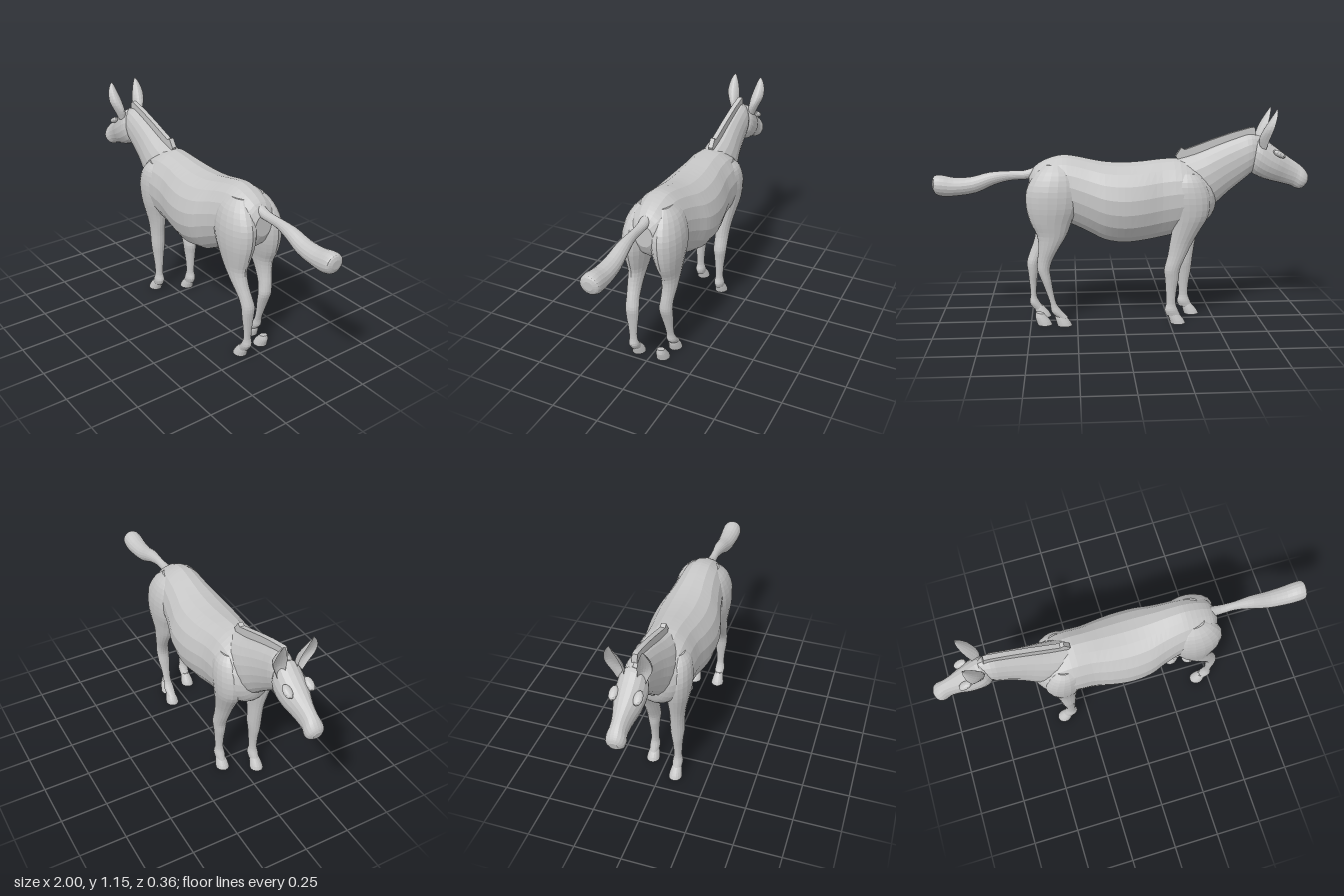
import * as THREE from 'three';

const coat = new THREE.MeshStandardMaterial({ color: 0xc6c6c6, flatShading: true });
coat.name = 'grey coat';
const SIDES = 18;

// Skin over rings [px, py, qx, qy, halfWidth, zCentre]: P and Q are opposite rim points in the xy plane
function loft(name, keys, { steps = 3, cup = false } = {}) {
  const a = new THREE.CatmullRomCurve3(keys.map(k => new THREE.Vector3(k[0], k[1], k[4])), false, 'centripetal');
  const b = new THREE.CatmullRomCurve3(keys.map(k => new THREE.Vector3(k[2], k[3], k[5] || 0)), false, 'centripetal');
  const rows = (keys.length - 1) * steps;
  const pos = [];
  let idx = [];
  const mids = [];
  for (let i = 0; i <= rows; i++) {
    const P = a.getPoint(i / rows), Q = b.getPoint(i / rows);
    const mx = (P.x + Q.x) / 2, my = (P.y + Q.y) / 2;
    mids.push([mx, my, Q.z]);
    for (let j = 0; j < SIDES; j++) {
      const t = (j / SIDES) * Math.PI * 2;
      const c = Math.cos(t);
      // a cupped ring is a crescent, hollow on the Q side
      const u = cup ? (c >= 0 ? 2 * c - 1 : -1.2 * c - 1) : c;
      pos.push(mx + (P.x - Q.x) / 2 * u, my + (P.y - Q.y) / 2 * u, Q.z + Math.max(P.z, 0.001) * Math.sin(t));
    }
  }
  for (let i = 0; i < rows; i++) for (let j = 0; j < SIDES; j++) {
    const k = (j + 1) % SIDES, r = i * SIDES, s = r + SIDES;
    idx.push(r + j, r + k, s + j, r + k, s + k, s + j);
  }
  // end caps
  const n = pos.length / 3;
  pos.push(...mids[0], ...mids[rows]);
  for (let j = 0; j < SIDES; j++) {
    const k = (j + 1) % SIDES, s = rows * SIDES;
    idx.push(n, k, j, n + 1, s + j, s + k);
  }
  // turn the faces outwards if the enclosed volume is negative
  const v = i => new THREE.Vector3().fromArray(pos, i * 3);
  let volume = 0;
  for (let i = 0; i < idx.length; i += 3) volume += v(idx[i]).dot(v(idx[i + 1]).cross(v(idx[i + 2])));
  if (volume < 0) idx = idx.reverse();
  const g = new THREE.BufferGeometry();
  g.setAttribute('position', new THREE.Float32BufferAttribute(pos, 3));
  g.setIndex(idx);
  g.computeVertexNormals();
  const mesh = new THREE.Mesh(g, coat);
  mesh.name = name;
  return mesh;
}

// Limb from rows [y, xFront, xBack, z, halfWidth], moved along x by shift(y)
function limb(name, rows, side, shift) {
  return loft(name, rows.map(([y, f, b, z, w]) => [b + shift(y), y, f + shift(y), y, w, z * side]));
}

function hoof(name, x, z) {
  return loft(name, [
    [x + 0.088, 0.07, x + 0.045, 0.062, 0.02, z],
    [x + 0.092, 0.045, x + 0.03, 0.045, 0.027, z],
    [x + 0.086, 0.02, x + 0.01, 0.02, 0.033, z],
    [x + 0.08, 0, x, 0, 0.036, z],
  ], { steps: 2 });
}

export function createModel() {
  const model = new THREE.Group();
  model.name = 'donkey';

  // Trunk: [x, top, bottom, halfWidth]
  const trunk = [
    [-0.5, 0.72, 0.64, 0.025], [-0.485, 0.77, 0.595, 0.065], [-0.45, 0.81, 0.555, 0.11],
    [-0.38, 0.86, 0.515, 0.148], [-0.3, 0.89, 0.487, 0.155], [-0.2, 0.888, 0.463, 0.156],
    [-0.1, 0.877, 0.446, 0.175], [0, 0.872, 0.438, 0.185], [0.1, 0.878, 0.455, 0.178],
    [0.18, 0.893, 0.495, 0.155], [0.25, 0.908, 0.53, 0.14], [0.32, 0.915, 0.56, 0.13],
    [0.4, 0.895, 0.59, 0.12], [0.46, 0.86, 0.63, 0.1], [0.495, 0.81, 0.69, 0.05],
  ];
  model.add(loft('trunk', trunk.map(([x, t, b, w]) => [x, t, x, b, w])));

  model.add(loft('neck', [
    [-0.25, 0.88, -0.42, 0.58, 0.1], [-0.38, 0.915, -0.5, 0.645, 0.092],
    [-0.5, 0.962, -0.565, 0.705, 0.075], [-0.6, 0.998, -0.63, 0.758, 0.066],
    [-0.68, 1.02, -0.685, 0.805, 0.062], [-0.73, 1.005, -0.72, 0.84, 0.045],
  ]));

  model.add(loft('head', [
    [-0.69, 0.985, -0.672, 0.87, 0.035], [-0.735, 1.003, -0.69, 0.812, 0.068],
    [-0.79, 0.965, -0.73, 0.787, 0.074], [-0.845, 0.925, -0.79, 0.766, 0.066],
    [-0.9, 0.885, -0.855, 0.75, 0.048], [-0.945, 0.855, -0.91, 0.735, 0.042],
    [-0.975, 0.83, -0.94, 0.72, 0.048], [-0.994, 0.805, -0.965, 0.722, 0.042],
    [-1, 0.785, -0.988, 0.742, 0.022],
  ]));

  // Upright mane, a thin ridge along the crest
  const crest = new THREE.Shape([
    [-0.71, 1.0], [-0.7, 1.053], [-0.68, 1.052], [-0.58, 1.025], [-0.47, 0.988], [-0.38, 0.955],
    [-0.33, 0.937], [-0.31, 0.948], [-0.28, 0.903], [-0.3, 0.87], [-0.5, 0.93], [-0.68, 0.98],
  ].map(p => new THREE.Vector2(...p)));
  const maneGeometry = new THREE.ExtrudeGeometry(crest, { depth: 0.026, bevelEnabled: false });
  maneGeometry.translate(0, 0, -0.013);
  const mane = new THREE.Mesh(maneGeometry, coat);
  mane.name = 'mane';
  model.add(mane);

  model.add(loft('tail', [
    [0.44, 0.86, 0.46, 0.79, 0.03], [0.52, 0.834, 0.52, 0.785, 0.024], [0.6, 0.832, 0.6, 0.78, 0.022],
    [0.7, 0.826, 0.68, 0.758, 0.034], [0.8, 0.802, 0.77, 0.718, 0.044], [0.89, 0.8, 0.87, 0.702, 0.05],
    [0.96, 0.814, 0.95, 0.7, 0.053], [0.99, 0.808, 0.985, 0.714, 0.048], [1, 0.785, 0.998, 0.74, 0.025],
  ]));

  const foreRows = [
    [0.82, -0.38, -0.29, 0.085, 0.03], [0.78, -0.42, -0.26, 0.09, 0.055], [0.7, -0.455, -0.245, 0.09, 0.07],
    [0.6, -0.45, -0.26, 0.09, 0.064], [0.52, -0.43, -0.28, 0.086, 0.052], [0.45, -0.412, -0.29, 0.082, 0.042],
    [0.38, -0.4, -0.3, 0.08, 0.038], [0.3, -0.39, -0.305, 0.08, 0.037], [0.25, -0.385, -0.31, 0.08, 0.031],
    [0.18, -0.373, -0.315, 0.08, 0.024], [0.11, -0.37, -0.318, 0.08, 0.022], [0.075, -0.382, -0.31, 0.08, 0.028],
    [0.045, -0.395, -0.32, 0.08, 0.025],
  ];
  const hindRows = [
    [0.87, 0.3, 0.41, 0.055, 0.03], [0.82, 0.25, 0.465, 0.068, 0.06], [0.74, 0.23, 0.508, 0.078, 0.077],
    [0.65, 0.24, 0.51, 0.083, 0.075], [0.57, 0.275, 0.49, 0.087, 0.06], [0.5, 0.315, 0.47, 0.09, 0.045],
    [0.43, 0.375, 0.482, 0.09, 0.038], [0.36, 0.43, 0.508, 0.084, 0.034], [0.31, 0.455, 0.522, 0.08, 0.036],
    [0.25, 0.464, 0.516, 0.08, 0.033], [0.19, 0.47, 0.51, 0.08, 0.025], [0.12, 0.472, 0.506, 0.08, 0.022],
    [0.08, 0.455, 0.512, 0.08, 0.028], [0.045, 0.43, 0.49, 0.08, 0.025],
  ];
  const ramp = (y, from, to) => THREE.MathUtils.clamp((from - y) / (from - to), 0, 1);

  // Paired parts; the legs on the -z side stand in a different step
  for (const s of [1, -1]) {
    const far = s < 0;
    model.add(limb('foreleg', foreRows, s, y => far ? 0.088 * ramp(y, 0.6, 0.3) : 0));
    model.add(limb('hindLeg', hindRows, s, y => far ? -0.13 * ramp(y, 0.55, 0.05) : 0));
    model.add(hoof('foreHoof', far ? -0.335 : -0.43, 0.08 * s));
    model.add(hoof('hindHoof', far ? 0.278 : 0.392, 0.08 * s));

    model.add(loft('ear', [
      [-0.72, 0.95, -0.755, 0.94, 0.02, 0.048 * s], [-0.715, 1.0, -0.768, 0.99, 0.028, 0.06 * s],
      [-0.735, 1.05, -0.783, 1.045, 0.036, 0.074 * s], [-0.765, 1.1, -0.797, 1.1, 0.027, 0.08 * s],
      [-0.79, 1.138, -0.803, 1.138, 0.012, 0.079 * s], [-0.798, 1.152, -0.803, 1.152, 0.003, 0.077 * s],
    ], { cup: true }));

    const brow = new THREE.Mesh(new THREE.SphereGeometry(1, 12, 8), coat);
    brow.name = 'brow';
    brow.scale.set(0.038, 0.016, 0.022);
    brow.position.set(-0.825, 0.915, 0.058 * s);
    brow.rotation.z = 0.5;
    model.add(brow);
  }

  // Loose hoof beside the hind legs
  model.add(hoof('looseHoof', 0.385, -0.06));

  return model;
}
